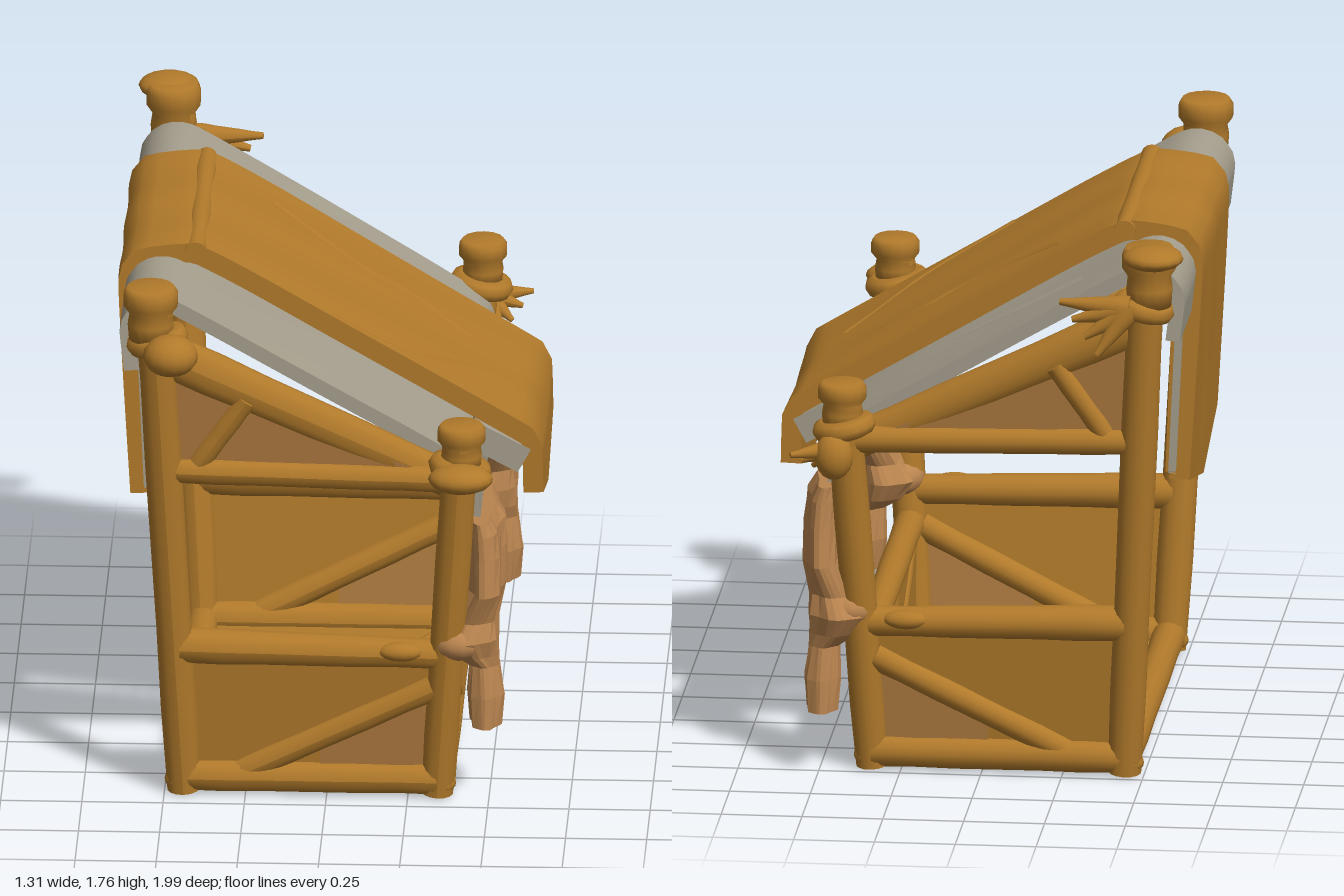
import * as THREE from 'three';

const mat = (name, color) => Object.assign(new THREE.MeshStandardMaterial({ color }), { name });
const V = (x, y, z) => new THREE.Vector3(x, y, z);

export function createModel() {
  const root = new THREE.Group();
  root.name = 'marketStall';
  const wood = mat('ochre wood and drape', 0xb17a2b);
  const grey = mat('grey canvas', 0xa59e8d);
  const tan = mat('tan curtain', 0xb9844f);
  const inset = mat('brown panel', 0xae7a40);
  tan.side = THREE.DoubleSide;

  const add = (name, geo, m, p) => {
    const mesh = new THREE.Mesh(geo, m);
    mesh.name = name;
    if (p) mesh.position.copy(p);
    root.add(mesh);
    return mesh;
  };

  // Leaning side planes and leaning posts
  const sideZ = (s, y) => s * (0.665 + 0.106 * y) - 0.025;
  const tallX = y => -0.44 - 0.052 * y;
  const shortX = y => 0.34 + 0.065 * y;

  // Round log between two points, slightly uneven along its length
  const beam = (name, a, b, r0, r1 = r0) => {
    const len = a.distanceTo(b);
    const geo = new THREE.CylinderGeometry(r1, r0, len, 14, 6);
    const p = geo.attributes.position;
    for (let i = 0; i < p.count; i++) {
      const k = 1 + 0.05 * Math.sin(p.getY(i) * 17 / len);
      p.setX(i, p.getX(i) * k);
      p.setZ(i, p.getZ(i) * k);
    }
    geo.computeVertexNormals();
    const mesh = add(name, geo, wood, a.clone().lerp(b, 0.5));
    mesh.quaternion.setFromUnitVectors(V(0, 1, 0), b.clone().sub(a).normalize());
    return mesh;
  };
  const lump = (name, x, y, z, sx, sy, sz, m = wood) =>
    add(name, new THREE.SphereGeometry(1, 14, 10), m, V(x, y, z)).scale.set(sx, sy, sz);

  // Flat plate lying in a side plane
  const sidePlate = (name, s, pts, depth, m) => {
    const shape = new THREE.Shape(pts.map(q => new THREE.Vector2(...q)));
    const geo = new THREE.ExtrudeGeometry(shape, { depth, bevelEnabled: false });
    const p = geo.attributes.position;
    for (let i = 0; i < p.count; i++) p.setZ(i, p.getZ(i) - depth / 2 + sideZ(s, p.getY(i)));
    geo.computeVertexNormals();
    add(name, geo, m);
  };

  // Bulging log end with a rounded rim
  const cap = (name, x, y, z, r, h) => {
    const prof = [[0, 0], [0.8, 0], [0.85, 0.3], [0.78, 0.5], [1, 0.65], [1, 0.88], [0.85, 1], [0, 1]];
    add(name, new THREE.LatheGeometry(prof.map(([a, b]) => new THREE.Vector2(a * r, b * h)), 14), wood, V(x, y, z));
  };
  const wrap = (name, x, y, z, r, t, tilt) => {
    const mesh = add(name, new THREE.TorusGeometry(r, t, 8, 18), wood, V(x, y, z));
    mesh.rotation.set(Math.PI / 2, tilt, 0);
  };

  for (const s of [1, -1]) {
    const on = (x, y, inward = 0) => V(x, y, sideZ(s, y) - s * inward);
    // Posts with caps and rope bindings
    beam('tallPost', on(tallX(0), 0.01), on(tallX(1.7), 1.7), 0.054, 0.058);
    beam('shortPost', on(shortX(0), 0.01), on(shortX(1.22), 1.22), 0.052, 0.057);
    cap('tallPostCap', -0.535, 1.56, sideZ(s, 1.66), 0.085, s > 0 ? 0.17 : 0.19);
    cap('shortPostCap', 0.42, 1.13, sideZ(s, 1.18), 0.075, 0.14);
    wrap('tallPostBinding', -0.515, 1.55, sideZ(s, 1.55), 0.065, 0.033, 0.25);
    wrap('shortPostBinding', 0.415, 1.125, sideZ(s, 1.13), 0.068, 0.032, -0.2);
    if (s > 0) {
      lump('tallPostKnot', -0.47, 1.54, 0.915, 0.085, 0.065, 0.08);
      lump('shortPostKnot', 0.42, 1.12, 0.845, 0.1, 0.045, 0.07);
    } else {
      lump('tallPostTopKnob', -0.55, 1.725, -0.91, 0.095, 0.038, 0.09);
      // Frayed rope ends
      for (let i = 0; i < 4; i++) {
        beam('frayedEnd', V(-0.48, 1.56, -0.91), V(-0.26 - 0.04 * i, 1.57 - 0.05 * i, -0.89 - 0.02 * i), 0.042, 0.01);
        beam('frayedEnd', V(0.43, 1.07, -0.86), V(0.57 - 0.03 * i, 1.06 - 0.03 * i, -0.92 + 0.05 * i), 0.036, 0.008);
      }
      lump('shortPostKnot', 0.44, 1.05, -0.88, 0.06, 0.075, 0.055);
    }
    lump('tallFoot', tallX(0), 0.04, sideZ(s, 0), 0.06, 0.04, 0.055);
    lump('shortFoot', shortX(0), 0.04, sideZ(s, 0), 0.058, 0.04, 0.055);

    // Side railings and panels
    beam('sideBottomRail', on(-0.44, 0.058), on(0.34, 0.058), 0.052);
    beam('sideMiddleRail', on(-0.45, 0.5), on(0.36, 0.483), 0.057, 0.046);
    beam('sideDiagonal', on(-0.27, 0.07), on(0.33, 0.37), 0.042);
    lump('railKnot', 0.23, 0.5, sideZ(s, 0.5) + s * 0.03, 0.07, 0.03, 0.035);
    sidePlate('sidePanel', s, [[-0.43, 0.05], [0.33, 0.05], [0.35, 0.46], [-0.45, 0.5]], 0.02, wood);
    sidePlate('sidePanelInset', s, [[-0.02, 0.1], [0.31, 0.1], [0.32, 0.36], [-0.02, 0.18]], 0.028, inset);

    // Sloped roof rail, taller than wide, with a braced triangle below
    beam('roofRail', on(-0.5, 1.495, 0.02), on(0.41, 1.055, 0.035), 0.052, 0.04).scale.x = 1.4;
    beam('gableRail', on(-0.49, 1.105), on(0.4, 1.085), 0.043);
    beam('gableStrut', on(-0.39, 1.13), on(-0.24, 1.35), 0.034);
    sidePlate('gablePanel', s, [[-0.48, 1.09], [0.34, 1.09], [-0.5, 1.48]], 0.02, inset);

    // Front diagonal braces
    beam('frontDiagonal', V(0.36, 0.1, -0.03 + s * 0.04), V(0.365, 0.36, -0.03 + s * 0.6), 0.034);

    // Tied curtain: y, inner edge, outer edge, x centre, half depth
    const rows = [[0.925, 0.37, 0.78, 0.475, 0.04], [0.88, 0.37, 0.785, 0.485, 0.06], [0.8, 0.44, 0.79, 0.49, 0.062],
      [0.68, 0.53, 0.8, 0.49, 0.06], [0.58, 0.59, 0.77, 0.455, 0.075], [0.52, 0.57, 0.8, 0.435, 0.1],
      [0.46, 0.59, 0.77, 0.455, 0.08], [0.42, 0.62, 0.75, 0.485, 0.05], [0.32, 0.6, 0.77, 0.49, 0.06], [0.22, 0.61, 0.78, 0.49, 0.05]];
    const n = rows.length - 1;
    const geo = new THREE.CylinderGeometry(1, 1, 1, 24, n);
    const p = geo.attributes.position;
    for (let i = 0; i < p.count; i++) {
      const k = Math.round((0.5 - p.getY(i)) * n);
      const [y, a, b, xc, d] = rows[k];
      const ang = Math.atan2(p.getZ(i), p.getX(i));
      const pleat = 0.9 + 0.16 * Math.cos(ang * 6 + k * 0.5);
      const z = (a + b) / 2 + p.getZ(i) * s * (b - a) / 2 * (0.94 + 0.06 * pleat);
      p.setXYZ(i, xc + p.getX(i) * d * pleat, y - (s < 0 ? 0.02 : -0.03) * k / n, s * z - 0.04);
    }
    const folded = geo.toNonIndexed();
    folded.computeVertexNormals();
    add('curtain', folded, tan);
    lump('curtainTie', 0.405, 0.525, sideZ(s, 0.5) - s * 0.01, 0.085, 0.06, 0.085, tan);
  }

  // Floor, floor beam and cross rails
  add('floor', new THREE.BoxGeometry(0.78, 0.03, 1.32), wood, V(-0.05, 0.03, -0.025));
  beam('floorBeam', V(-0.42, 0.03, 0.62), V(0.32, 0.03, -0.67), 0.025);
  beam('backBottomRail', V(-0.44, 0.055, sideZ(-1, 0)), V(-0.44, 0.055, sideZ(1, 0)), 0.05);
  beam('frontBottomRail', V(0.345, 0.055, sideZ(-1, 0)), V(0.345, 0.055, sideZ(1, 0)), 0.05);
  beam('frontTopRail', V(0.365, 0.385, sideZ(-1, 0.38)), V(0.365, 0.385, sideZ(1, 0.38)), 0.045);
  beam('frontCentrePost', V(0.355, 0.06, -0.03), V(0.365, 0.38, -0.03), 0.04);
  add('frontPanel', new THREE.BoxGeometry(0.02, 0.34, 1.34), wood, V(0.35, 0.22, -0.025));

  // Thick cloth swept along a profile; z edges run from edgeA to edgeB
  const sheet = (name, pts, edgeA, edgeB, t, m, hem = 0, wave = 0) => {
    const curve = new THREE.CatmullRomCurve3(pts.map(q => V(q[0], q[1], 0)), false, 'catmullrom', 0.2);
    const geo = new THREE.BoxGeometry(1, t, 1, 60, 1, 16);
    const p = geo.attributes.position;
    for (let i = 0; i < p.count; i++) {
      const u = p.getX(i) + 0.5, v = p.getZ(i) + 0.5, off = p.getY(i);
      const c = curve.getPointAt(u), g = curve.getTangentAt(u);
      const end = Math.max(0, 1 - Math.min(u, 1 - u) / 0.1);
      const h = off + wave * Math.sin(v * 14 + u * 5) * Math.sin(u * Math.PI);
      const z = THREE.MathUtils.lerp(THREE.MathUtils.lerp(edgeA[0], edgeB[0], u), THREE.MathUtils.lerp(edgeA[1], edgeB[1], u), v);
      p.setXYZ(i, c.x - g.y * h, c.y + g.x * h - hem * end * (1 - Math.abs(2 * v - 1)), z);
    }
    geo.computeVertexNormals();
    add(name, geo, m);
  };

  // Grey roof canvas, then the long drape with its lining
  sheet('roofCanvas', [[-0.598, 1.42], [-0.612, 1.56], [-0.57, 1.62], [-0.47, 1.622], [0.2, 1.232], [0.41, 1.1], [0.44, 1.04], [0.452, 0.915]],
    [-0.78, 0.735], [-0.74, 0.66], 0.045, grey, 0, 0.003);
  sheet('drape', [[-0.585, 0.88], [-0.622, 1.56], [-0.59, 1.645], [-0.42, 1.665], [-0.2, 1.548], [0.56, 1.095], [0.617, 1.05], [0.623, 0.88]],
    [-0.45, 0.385], [-0.4, 0.33], 0.062, wood, 0.1, 0.003);
  sheet('drapeBackLining', [[-0.562, 0.9], [-0.592, 1.56]], [-0.455, 0.39], [-0.455, 0.39], 0.024, grey);
  sheet('drapeInnerFace', [[-0.55, 0.9], [-0.575, 1.56]], [-0.44, 0.375], [-0.44, 0.375], 0.02, wood, 0.06);
  sheet('drapeFrontLining', [[0.42, 1.08], [0.595, 0.985]], [-0.41, 0.34], [-0.405, 0.335], 0.085, grey);
  beam('drapeRidge', V(-0.415, 1.67, -0.445), V(-0.415, 1.67, 0.375), 0.034);

  // Raised creases in the cloth
  const crease = (name, pts, r, m) =>
    add(name, new THREE.TubeGeometry(new THREE.CatmullRomCurve3(pts.map(q => V(...q))), 16, r, 8), m);
  const roofY = x => 1.456 - 0.597 * x;
  crease('drapeCrease', [[0, 0.32], [0.25, 0.27], [0.42, 0.12], [0.5, 0.06]].map(([x, z]) => [x, roofY(x), z]), 0.014, wood);
  crease('drapeCrease', [[-0.2, -0.28], [0.1, -0.17], [0.22, -0.18], [0.42, -0.1]].map(([x, z]) => [x, roofY(x), z]), 0.016, wood);
  crease('canvasCrease', [[-0.31, 1.54, -0.56], [-0.1, 1.418, -0.51], [0.1, 1.302, -0.45]], 0.025, grey);
  return root;
}
